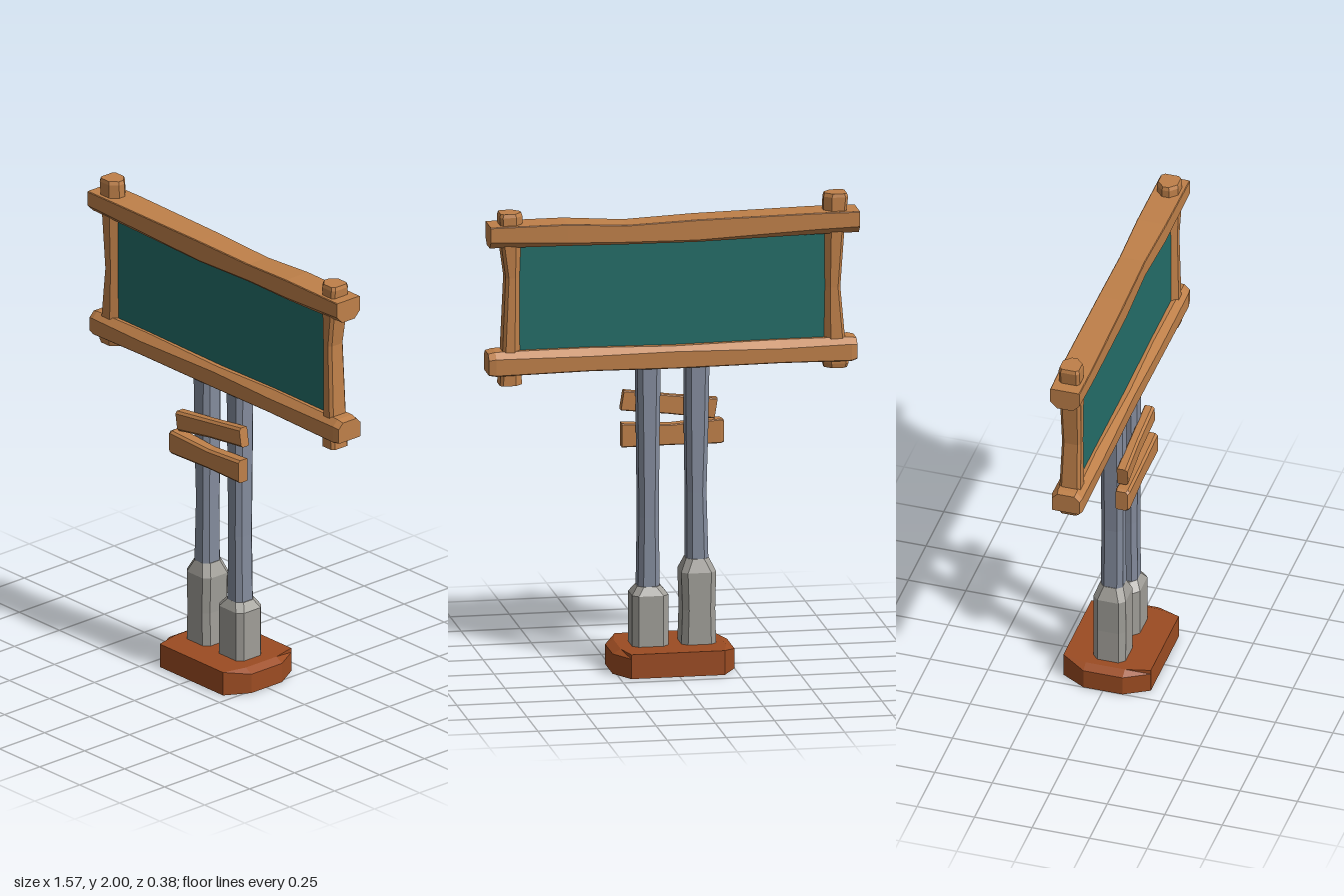
import * as THREE from 'three';

const paint = (name, color) => {
  const m = new THREE.MeshStandardMaterial({ color, flatShading: true });
  m.name = name;
  return m;
};

// Rectangle u0..u1 by v0..v1 with its own cut at each corner (--, +-, ++, -+)
function cutRect(u0, u1, v0, v1, [a, b, c, d]) {
  return [
    [u0, v0 + a], [u0 + a, v0], [u1 - b, v0], [u1, v0 + b],
    [u1, v1 - c], [u1 - c, v1], [u0 + d, v1], [u0, v1 - d],
  ];
}

// Closed solid through rings of 3D points; faces are turned outward
function loft(rings) {
  const n = rings[0].length, pos = rings.flat(2), idx = [];
  for (let r = 0; r < rings.length - 1; r++) {
    for (let i = 0; i < n; i++) {
      const a = r * n + i, b = r * n + (i + 1) % n;
      idx.push(a, b, b + n, a, b + n, a + n);
    }
  }
  const last = (rings.length - 1) * n;
  for (let i = 1; i < n - 1; i++) {
    idx.push(0, i + 1, i, last, last + i, last + i + 1);
  }
  const p = i => new THREE.Vector3().fromArray(pos, i * 3);
  let volume = 0;
  for (let i = 0; i < idx.length; i += 3) {
    volume += p(idx[i]).dot(p(idx[i + 1]).cross(p(idx[i + 2])));
  }
  if (volume < 0) idx.reverse();
  const g = new THREE.BufferGeometry();
  g.setAttribute('position', new THREE.Float32BufferAttribute(pos, 3));
  g.setIndex(idx);
  const flat = g.toNonIndexed();
  flat.computeVertexNormals();
  return flat;
}

// Upright piece: rows of [y, x0, x1, z0, z1]
const upright = (rows, cuts) => loft(rows.map(([y, x0, x1, z0, z1]) =>
  cutRect(x0, x1, z0, z1, cuts).map(([x, z]) => [x, y, z])));

// Beam along x: rows of [x, y0, y1, z0, z1, cuts]; lean shifts x with height
const beam = (rows, cuts, lean = 0) => loft(rows.map(([x, y0, y1, z0, z1, own]) =>
  cutRect(z0, z1, y0, y1, own || cuts).map(([z, y]) => [x + lean * (y - y0), y, z])));

export function createModel() {
  const wood = paint('wood', 0xbf8049);
  const board = paint('boardGreen', 0x236d68);
  const metal = paint('metal', 0x848c9d);
  const stone = paint('stone', 0xa09e98);
  const clay = paint('clay', 0x9c4c22);

  const model = new THREE.Group();
  model.name = 'signboard';
  const add = (name, geometry, material) => {
    const mesh = new THREE.Mesh(geometry, material);
    mesh.name = name;
    model.add(mesh);
    return mesh;
  };

  // Foot slab with cut corners and slightly sloped ends
  const slab = (y, e) => [
    [-0.25 + e, -0.085], [-0.19, -0.19], [0.205, -0.19], [0.265 - e, -0.085],
    [0.265 - e, 0.085], [0.205, 0.19], [-0.19, 0.19], [-0.25 + e, 0.085],
  ].map(([x, z]) => [x, y, z]);
  add('footSlab', loft([slab(0, 0), slab(0.085, 0), slab(0.104, 0.035)]), clay);

  // Stone sockets
  const socketCuts = [0.024, 0.024, 0.024, 0.024];
  add('rightSocket', upright([
    [0.09, -0.18, -0.033, -0.07, 0.07], [0.25, -0.176, -0.038, -0.07, 0.07],
    [0.41, -0.18, -0.033, -0.07, 0.07], [0.465, -0.153, -0.057, -0.05, 0.05],
  ], socketCuts), stone);
  add('leftSocket', upright([
    [0.09, 0.022, 0.175, -0.07, 0.07], [0.32, 0.022, 0.175, -0.07, 0.07],
    [0.355, 0.05, 0.15, -0.05, 0.05],
  ], socketCuts), stone);

  // Metal legs
  const legCuts = [0.02, 0.02, 0.02, 0.02];
  add('rightLeg', upright([
    [0.42, -0.152, -0.06, -0.046, 0.05], [0.75, -0.143, -0.06, -0.045, 0.048],
    [1.0, -0.15, -0.057, -0.046, 0.05], [1.32, -0.156, -0.055, -0.046, 0.05],
  ], legCuts), metal);
  add('leftLeg', upright([
    [0.32, 0.055, 0.147, -0.046, 0.05], [0.65, 0.058, 0.142, -0.045, 0.048],
    [0.95, 0.056, 0.145, -0.046, 0.05], [1.32, 0.05, 0.15, -0.046, 0.05],
  ], legCuts), metal);

  // Board panel
  const panel = add('boardPanel', new THREE.BoxGeometry(1.3, 0.52, 0.04), board);
  panel.position.set(0, 1.61, 0);

  // Side posts of the frame
  add('rightFramePost', upright([
    [1.255, -0.735, -0.642, -0.042, 0.042], [1.275, -0.742, -0.638, -0.046, 0.046],
    [1.38, -0.727, -0.635, -0.045, 0.046], [1.6, -0.708, -0.634, -0.04, 0.042],
    [1.84, -0.724, -0.637, -0.045, 0.046], [1.985, -0.74, -0.64, -0.045, 0.045],
    [2.0, -0.735, -0.645, -0.042, 0.042],
  ], [0.012, 0.03, 0.03, 0.012]), wood);
  add('leftFramePost', upright([
    [1.24, 0.635, 0.731, -0.045, 0.046], [1.38, 0.64, 0.72, -0.045, 0.046],
    [1.7, 0.636, 0.706, -0.04, 0.042], [1.84, 0.636, 0.725, -0.045, 0.046],
    [1.96, 0.633, 0.732, -0.046, 0.046], [1.975, 0.638, 0.728, -0.042, 0.042],
  ], [0.03, 0.012, 0.012, 0.03]), wood);

  // Top rail, bevelled below and worn in the middle
  const top = c => [c, c, 0.003, 0.003];
  add('topRail', beam([
    [-0.785, 1.832, 1.926, -0.065, 0.063, top(0.03)],
    [-0.6, 1.832, 1.928, -0.067, 0.065, top(0.026)],
    [-0.1, 1.826, 1.922, -0.066, 0.056, top(0.01)],
    [0.2, 1.828, 1.912, -0.066, 0.046, top(0.012)],
    [0.45, 1.832, 1.927, -0.067, 0.06, top(0.016)],
    [0.775, 1.832, 1.926, -0.065, 0.063, top(0.03)],
  ], null).applyMatrix4(new THREE.Matrix4()), wood);

  // Bottom rail, bevelled above
  const low = c => [0.004, 0.004, c, c];
  add('bottomRail', beam([
    [-0.775, 1.295, 1.38, -0.06, 0.06, low(0.024)],
    [-0.75, 1.288, 1.386, -0.067, 0.065, low(0.026)],
    [-0.45, 1.292, 1.386, -0.066, 0.064, low(0.032)],
    [0, 1.289, 1.382, -0.066, 0.06, low(0.02)],
    [0.35, 1.294, 1.388, -0.066, 0.064, low(0.03)],
    [0.752, 1.288, 1.387, -0.067, 0.065, low(0.026)],
    [0.782, 1.292, 1.38, -0.062, 0.06, low(0.024)],
  ], null), wood);

  // Small planks nailed across the legs
  const plankCuts = [0.004, 0.01, 0.01, 0.004];
  add('upperPlank', beam([
    [-0.19, 1.04, 1.126, 0.045, 0.092], [0, 1.068, 1.148, 0.045, 0.086],
    [0.205, 1.092, 1.176, 0.045, 0.088],
  ], plankCuts, -0.16), wood);
  add('lowerPlank', beam([
    [-0.231, 0.938, 1.03, 0.05, 0.102], [-0.218, 0.932, 1.036, 0.048, 0.108],
    [0, 0.934, 1.022, 0.048, 0.1], [0.2, 0.932, 1.034, 0.048, 0.1],
  ], plankCuts), wood);

  return model;
}
